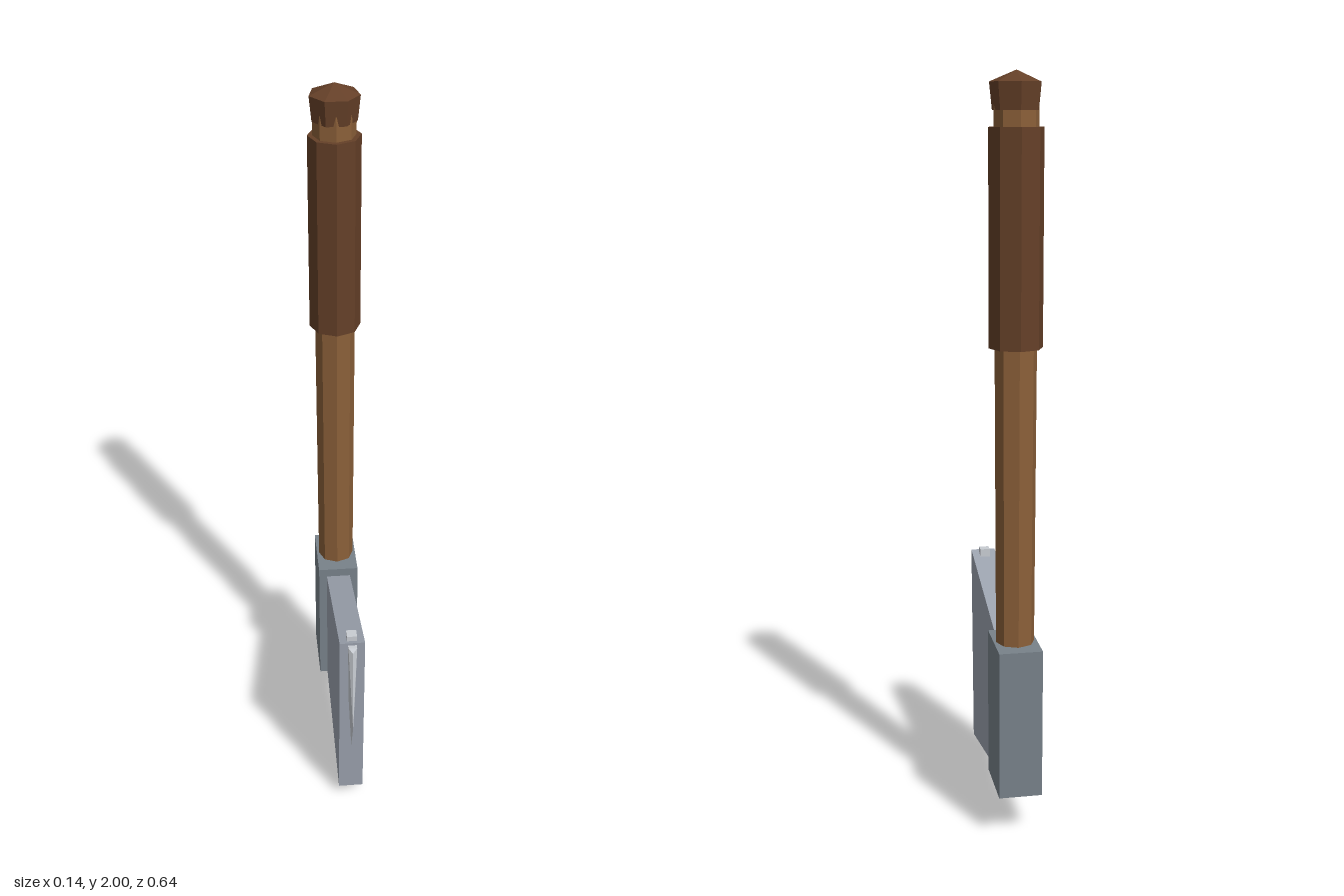
import * as THREE from 'three';
import { ConvexGeometry } from 'three/addons/geometries/ConvexGeometry.js';

const HANDLE_Z = -0.235;

function material(name, hex) {
  const m = new THREE.MeshStandardMaterial({ color: hex, flatShading: true });
  m.name = name;
  return m;
}

export function createModel() {
  const group = new THREE.Group();
  group.name = 'axe';
  const wood = material('wood', 0x8b6039);
  const darkWood = material('dark wood', 0x654028);
  const iron = material('dark iron', 0x78828a);
  const steel = material('steel', 0x9ca3af);
  const brightSteel = material('bright steel', 0xc8ccd2);

  const add = (name, geometry, mat, x = 0, y = 0, z = 0) => {
    const mesh = new THREE.Mesh(geometry, mat);
    mesh.name = name;
    mesh.position.set(x, y, z);
    group.add(mesh);
    return mesh;
  };
  // Eight-sided rod standing between two heights
  const rod = (name, mat, bottom, top, rBottom, rTop) =>
    add(name, new THREE.CylinderGeometry(rTop, rBottom, top - bottom, 8), mat,
      0, (bottom + top) / 2, HANDLE_Z);
  // Convex solid from a few [x, y, z] corners
  const hull = (points) => new ConvexGeometry(points.map((p) => new THREE.Vector3(...p)));

  // Handle and grip
  rod('handle', wood, 0.4, 1.93, 0.051, 0.057);
  rod('grip', darkWood, 1.32, 1.865, 0.07, 0.07);

  // Faceted pommel with a shallow pointed cap
  const pommelProfile = [[0, 1.905], [0.06, 1.905], [0.067, 1.972], [0, 2]]
    .map(([r, y]) => new THREE.Vector2(r, y));
  add('pommel', new THREE.LatheGeometry(pommelProfile, 7, Math.PI), darkWood, 0, 0, HANDLE_Z);

  // Head block around the foot of the handle
  add('headBlock', new THREE.BoxGeometry(0.116, 0.41, 0.176), iron, 0, 0.325, HANDLE_Z);

  // Flaring blade, drawn in profile as (z, y) and given its thickness along x
  const outline = new THREE.Shape([[-0.235, 0.134], [0.262, 0.035], [0.291, 0.62], [-0.235, 0.481]]
    .map(([z, y]) => new THREE.Vector2(z, y)));
  const bladeGeometry = new THREE.ExtrudeGeometry(outline, { depth: 0.07, bevelEnabled: false });
  bladeGeometry.translate(0, 0, -0.035).rotateY(-Math.PI / 2);
  add('blade', bladeGeometry, steel);

  // Sharpened sliver on the front of the blade
  add('cuttingEdge', hull([
    [-0.012, 0.612, 0.28], [0.012, 0.612, 0.28],
    [-0.012, 0.612, 0.303], [0.012, 0.612, 0.303], [0, 0.6, 0.312],
    [-0.009, 0.4, 0.28], [0.009, 0.4, 0.28],
    [0, 0.325, 0.322], [0, 0.21, 0.27],
  ]), brightSteel);

  // Small stub above the blade and spur below it
  add('upperStub', new THREE.BoxGeometry(0.028, 0.04, 0.028), brightSteel, 0, 0.612, 0.264);
  add('lowerSpur', hull([
    [-0.01, 0.06, 0.185], [0.01, 0.06, 0.185], [-0.01, 0.06, 0.205], [0.01, 0.06, 0.205],
    [-0.008, 0.01, 0.182], [0.008, 0.01, 0.182], [0, 0, 0.178],
  ]), brightSteel);

  return group;
}
